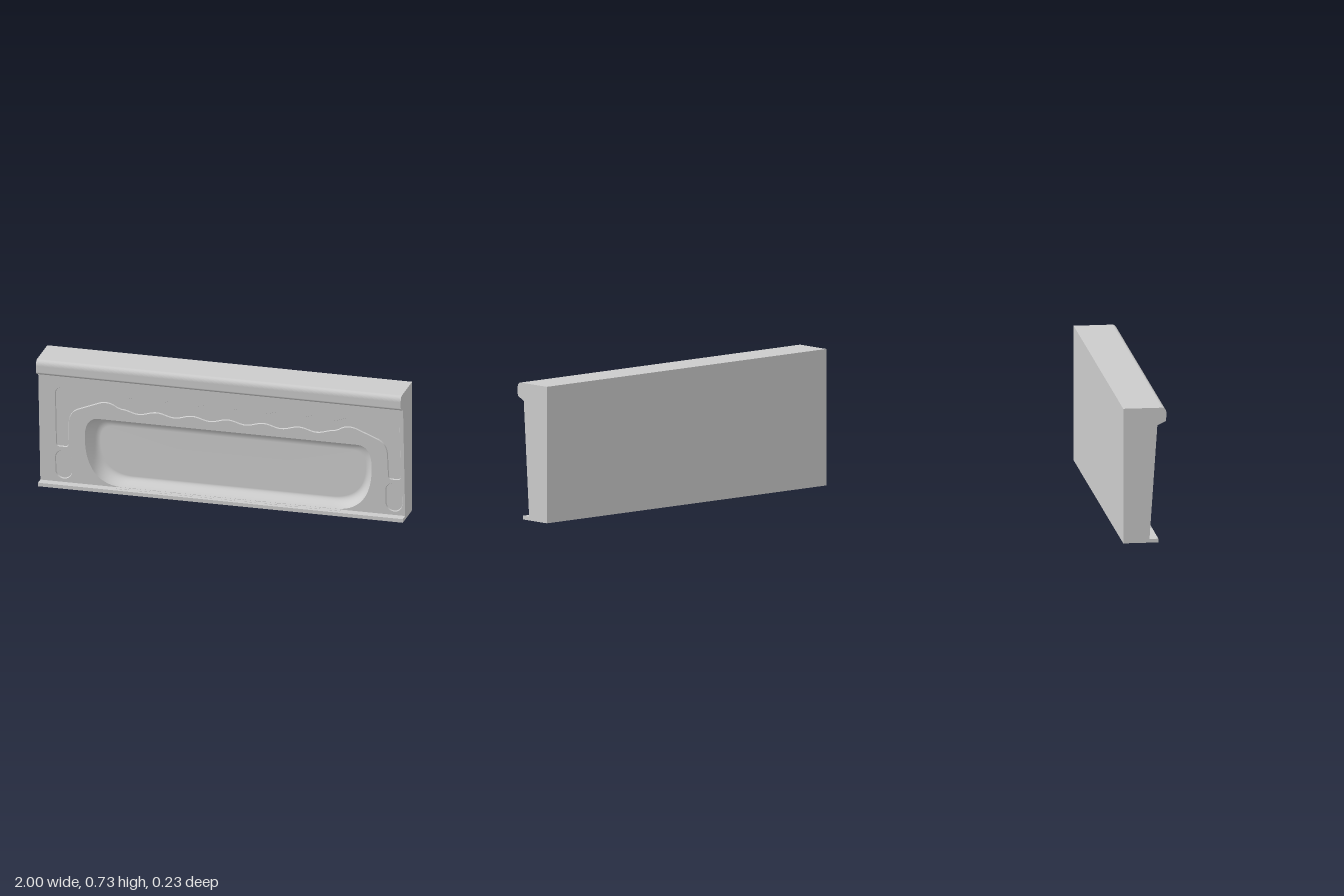
import * as THREE from 'three';

const CX = 0.035;            // centre line of the pressed details
const BACK = -0.115, CORE_BACK = -0.09, GROOVE = 0.008, DRAFT = 0.003;
const FACE_BOTTOM = 0.02, FACE_TOP = 0.635;

// z of the sloping front face, and of the groove floors, at height y
const faceZ = y => THREE.MathUtils.mapLinear(y, FACE_BOTTOM, FACE_TOP, 0.025, 0.067);
const grooveZ = y => faceZ(y) - GROOVE;

// close a right-hand half outline (top to bottom) by mirroring it about CX
function mirrored(half) {
  const left = half.slice().reverse().filter(p => p.x > 1e-4);
  return [
    ...half.map(p => new THREE.Vector2(CX + p.x, p.y)),
    ...left.map(p => new THREE.Vector2(CX - p.x, p.y)),
  ];
}

// rim of the pan
function panOutline() {
  const path = new THREE.Path();
  path.moveTo(0, 0.408);
  path.lineTo(0.71, 0.408);
  path.quadraticCurveTo(0.775, 0.408, 0.785, 0.32);
  path.bezierCurveTo(0.795, 0.12, 0.72, 0.022, 0.58, 0.022);
  path.lineTo(0, 0.022);
  return mirrored(path.getSpacedPoints(80));
}

// wavy arch with two legs
function archOutline() {
  const wave = x => 0.01 * Math.cos((x / 0.195) * Math.PI * 2);
  const side = new THREE.Path();
  side.moveTo(0.61, 0.542);
  side.quadraticCurveTo(0.67, 0.57, 0.72, 0.57);
  side.lineTo(0.905, 0.57);
  side.quadraticCurveTo(0.945, 0.57, 0.945, 0.53);
  side.lineTo(0.945, 0.25);
  side.quadraticCurveTo(0.945, 0.225, 0.925, 0.225);
  side.lineTo(0.895, 0.225);
  side.quadraticCurveTo(0.875, 0.225, 0.875, 0.25);
  side.lineTo(0.872, 0.37);
  side.quadraticCurveTo(0.868, 0.435, 0.81, 0.455);
  side.lineTo(0.70, 0.5);
  side.quadraticCurveTo(0.65, 0.515, 0.61, 0.485);
  const top = [], bottom = [];
  for (let i = 0; i <= 36; i++) {
    const x = 0.585 * i / 36;
    top.push(new THREE.Vector2(x, 0.545 - wave(x)));
    bottom.unshift(new THREE.Vector2(x, 0.465 + wave(x)));
  }
  return mirrored([...top, ...side.getPoints(8), ...bottom]);
}

// upright capsule, clockwise like the other outlines
function capsuleOutline(x) {
  const path = new THREE.Path();
  path.absarc(x, 0.16, 0.046, 0, Math.PI, false);
  path.absarc(x, 0.086, 0.046, Math.PI, Math.PI * 2, false);
  return path.getPoints(12).reverse();
}

// full-width plate with holes between two z rules
function plate(holes, backZ, frontZ) {
  const shape = new THREE.Shape([
    new THREE.Vector2(-1, FACE_BOTTOM), new THREE.Vector2(1, FACE_BOTTOM),
    new THREE.Vector2(1, FACE_TOP), new THREE.Vector2(-1, FACE_TOP),
  ]);
  shape.holes = holes.map(pts => new THREE.Path(pts));
  const geo = new THREE.ExtrudeGeometry(shape, { depth: 1, bevelEnabled: false });
  const pos = geo.attributes.position;
  for (let i = 0; i < pos.count; i++) {
    const y = pos.getY(i);
    pos.setZ(i, THREE.MathUtils.lerp(backZ(y), frontZ(y), pos.getZ(i)));
  }
  geo.computeVertexNormals();
  return geo;
}

// skin through clockwise rings of equal length, from the outer to the inner
function loft(rings) {
  const n = rings[0].length, index = [];
  for (let r = 0; r < rings.length - 1; r++) {
    for (let j = 0; j < n; j++) {
      const a = r * n + j, b = r * n + (j + 1) % n;
      index.push(a, a + n, b, b, a + n, b + n);
    }
  }
  const geo = new THREE.BufferGeometry().setFromPoints(rings.flat());
  geo.setIndex(index);
  geo.computeVertexNormals();
  return geo;
}

// pan: steep walls from the rim, rounding into a flat floor
function panGeometry(rim) {
  const STEPS = 16, cy = 0.15, floor = -0.055;
  const ring = (sx, sy, drop) => rim.map(p => new THREE.Vector3(
    CX + (p.x - CX) * sx, cy + (p.y - cy) * sy,
    THREE.MathUtils.lerp(faceZ(p.y), floor, drop)));
  const rings = [];
  for (let i = 0; i <= STEPS; i++) {
    const u = i / STEPS * Math.PI / 2;
    const inset = 1 - Math.cos(u);
    rings.push(ring(1 - 0.075 * inset, 1 - 0.29 * inset, Math.sin(u)));
  }
  rings.push(ring(0, 0, 1));
  return loft(rings);
}

// drafted wall leading from the face down to a groove floor
function grooveWall(outline) {
  const n = outline.length;
  const outer = outline.map(p => new THREE.Vector3(p.x, p.y, faceZ(p.y)));
  const inner = outline.map((p, i) => {
    const d = outline[(i + 1) % n].clone().sub(outline[(i + n - 1) % n]).normalize();
    const x = p.x + d.y * DRAFT, y = p.y - d.x * DRAFT;
    return new THREE.Vector3(x, y, grooveZ(y));
  });
  return loft([outer, inner]);
}

// overhanging top rail, swept along x
function railGeometry() {
  const s = new THREE.Shape();
  s.moveTo(BACK, FACE_TOP);
  s.lineTo(0.067, FACE_TOP);
  s.lineTo(0.109, 0.655);
  s.quadraticCurveTo(0.114, 0.658, 0.114, 0.665);
  s.lineTo(0.115, 0.7);
  s.bezierCurveTo(0.115, 0.717, 0.106, 0.73, 0.09, 0.73);
  s.lineTo(BACK, 0.73);
  const geo = new THREE.ExtrudeGeometry(s, { depth: 2, bevelEnabled: false, curveSegments: 10 });
  return geo.rotateY(-Math.PI / 2).translate(1, 0, 0);
}

function box(x0, x1, y0, y1, z0, z1) {
  return new THREE.BoxGeometry(x1 - x0, y1 - y0, z1 - z0)
    .translate((x0 + x1) / 2, (y0 + y1) / 2, (z0 + z1) / 2);
}

export function createModel() {
  const group = new THREE.Group();
  const material = new THREE.MeshStandardMaterial({ color: 0xcccccc });
  const add = (name, geo) => {
    const mesh = new THREE.Mesh(geo, material);
    mesh.name = name;
    group.add(mesh);
  };

  const rim = panOutline();
  const grooves = [archOutline(), capsuleOutline(CX - 0.905), capsuleOutline(CX + 0.905)];

  // solid body
  add('topRail', railGeometry());
  add('backPanel', box(-1, 1, FACE_BOTTOM, FACE_TOP, BACK, CORE_BACK));
  add('footLedge', box(-1, 1, 0, FACE_BOTTOM, BACK, 0.073));

  // sloping front: core shows as the floor of the shallow grooves
  add('frontCore', plate([rim], () => CORE_BACK, grooveZ));
  add('frontSkin', plate([rim, ...grooves], grooveZ, faceZ));
  grooves.forEach(outline => add('grooveWall', grooveWall(outline)));
  add('pan', panGeometry(rim));

  // small tabs along the bottom edge of the pan
  for (let i = 0; i < 11; i++) {
    const x = CX + (i - 5) * 0.116;
    add('ledgeTab', box(x - 0.034, x + 0.034, FACE_BOTTOM, FACE_BOTTOM + 0.0015, 0.02, 0.05));
  }
  return group;
}
